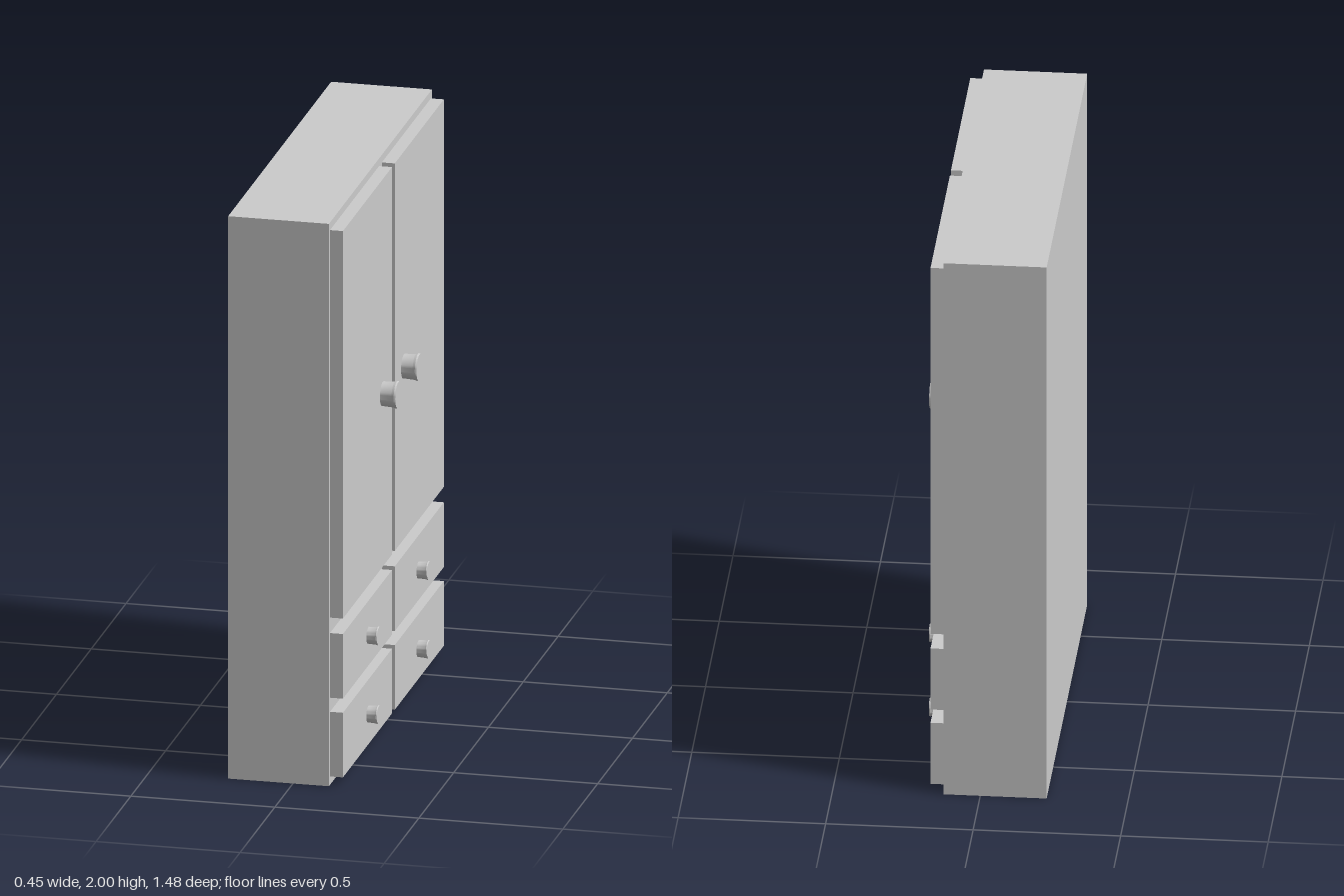
import * as THREE from 'three';
import { toCreasedNormals } from 'three/addons/utils/BufferGeometryUtils.js';

const material = new THREE.MeshStandardMaterial({ color: 0xcccccc });

const BODY_BACK = -0.225, BODY_FRONT = 0.125, PANEL_FRONT = 0.17;

// Box given by its extents on each axis
function box(name, x0, x1, y0, y1, z0, z1) {
  const mesh = new THREE.Mesh(new THREE.BoxGeometry(x1 - x0, y1 - y0, z1 - z0), material);
  mesh.name = name;
  mesh.position.set((x0 + x1) / 2, (y0 + y1) / 2, (z0 + z1) / 2);
  return mesh;
}

// Round knob flaring towards its face, pointing along +x
function knob(name, radius, length, y, z) {
  const profile = [
    [0, 0], [0.9, 0], [0.9, 0.2], [0.94, 0.75], [1, 0.9], [0.96, 1], [0, 1],
  ].map(([r, h]) => new THREE.Vector2(r * radius, h * length));
  const geometry = toCreasedNormals(new THREE.LatheGeometry(profile, 32), 0.5);
  const mesh = new THREE.Mesh(geometry, material);
  mesh.name = name;
  mesh.rotation.z = -Math.PI / 2;
  mesh.position.set(PANEL_FRONT, y, z);
  return mesh;
}

export function createModel() {
  const model = new THREE.Group();
  model.name = 'wardrobe';

  // Carcass
  model.add(box('cabinetBody', BODY_BACK, BODY_FRONT, 0, 2, -0.74, 0.74));

  // Doors and drawers, mirrored about the middle
  for (const side of [-1, 1]) {
    const [z0, z1] = side > 0 ? [0.02, 0.725] : [-0.725, -0.02];

    const door = new THREE.Group();
    door.name = 'door';
    door.add(box('doorPanel', BODY_FRONT, PANEL_FRONT, 0.595, 1.973, z0, z1));
    door.add(knob('doorKnob', 0.047, 0.054, 1.21, side * 0.152));
    model.add(door);

    for (const bottom of [0.03, 0.31]) {
      const drawer = new THREE.Group();
      drawer.name = 'drawer';
      drawer.add(box('drawerFront', BODY_FRONT, PANEL_FRONT, bottom, bottom + 0.23, z0, z1));
      drawer.add(knob('drawerKnob', 0.032, 0.037, bottom + 0.108, side * 0.36));
      model.add(drawer);
    }
  }
  return model;
}
